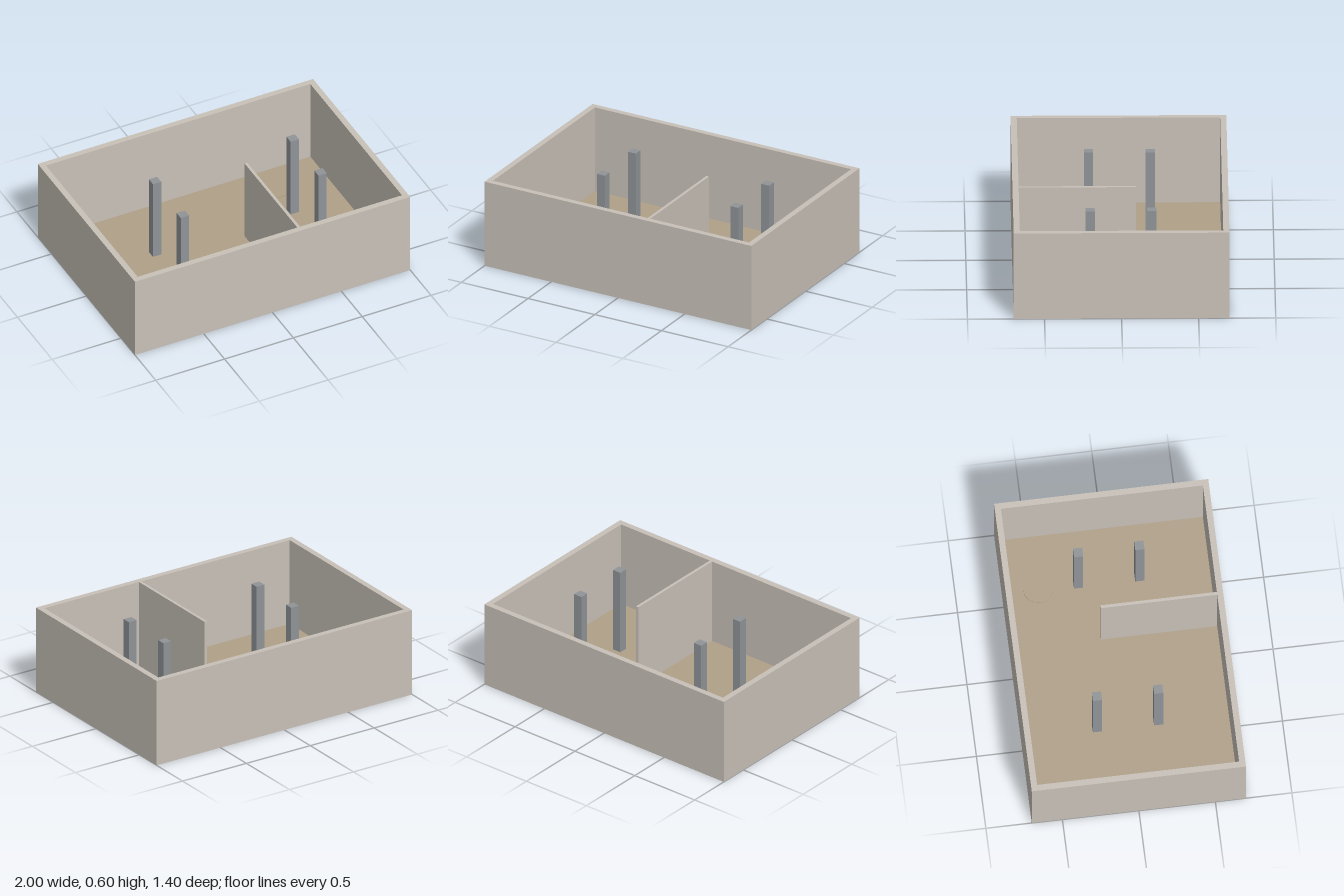
import * as THREE from 'three';

const HEIGHT = 0.6, WIDTH = 2, DEPTH = 1.4, WALL = 0.04, FLOOR = 0.005;

function material(name, color) {
  const m = new THREE.MeshStandardMaterial({ color });
  m.name = name;
  return m;
}

function rectangle(path, w, d) {
  return path.moveTo(-w / 2, -d / 2).lineTo(w / 2, -d / 2).lineTo(w / 2, d / 2).lineTo(-w / 2, d / 2).closePath();
}

export function createModel() {
  const group = new THREE.Group();
  group.name = 'openRoom';
  const plaster = material('plaster', 0xc8c1b8);
  const wood = material('wood', 0xb0a088);
  const steel = material('steel', 0x909498);

  function add(name, geometry, mat, x = 0, y = 0, z = 0) {
    const mesh = new THREE.Mesh(geometry, mat);
    mesh.name = name;
    mesh.position.set(x, y, z);
    group.add(mesh);
  }

  const innerW = WIDTH - 2 * WALL, innerD = DEPTH - 2 * WALL;

  // Outer walls as one hollow frame
  const outline = rectangle(new THREE.Shape(), WIDTH, DEPTH);
  outline.holes.push(rectangle(new THREE.Path(), innerW, innerD));
  const walls = new THREE.ExtrudeGeometry(outline, { depth: HEIGHT, bevelEnabled: false });
  walls.rotateX(-Math.PI / 2);
  add('outerWalls', walls, plaster);

  // Floor inside the walls
  add('floor', new THREE.BoxGeometry(innerW, FLOOR, innerD), wood, 0, FLOOR / 2, 0);

  // Round floor plate in the back corner
  add('roundFloorPlate', new THREE.CylinderGeometry(0.1, 0.1, 0.005, 48), wood, 0.6, FLOOR + 0.0025, -0.46);

  // Dividing wall, running from the front wall into the room
  const rise = HEIGHT - FLOOR, midY = FLOOR + rise / 2;
  const front = DEPTH / 2 - WALL, end = -0.1;
  add('partition', new THREE.BoxGeometry(0.02, rise, front - end), plaster, 0.21, midY, (front + end) / 2);

  // Four square columns
  for (const x of [-0.4, 0.6]) {
    for (const z of [-0.2, 0.2]) {
      add('column', new THREE.BoxGeometry(0.06, rise, 0.06), steel, x, midY, z);
    }
  }
  return group;
}
